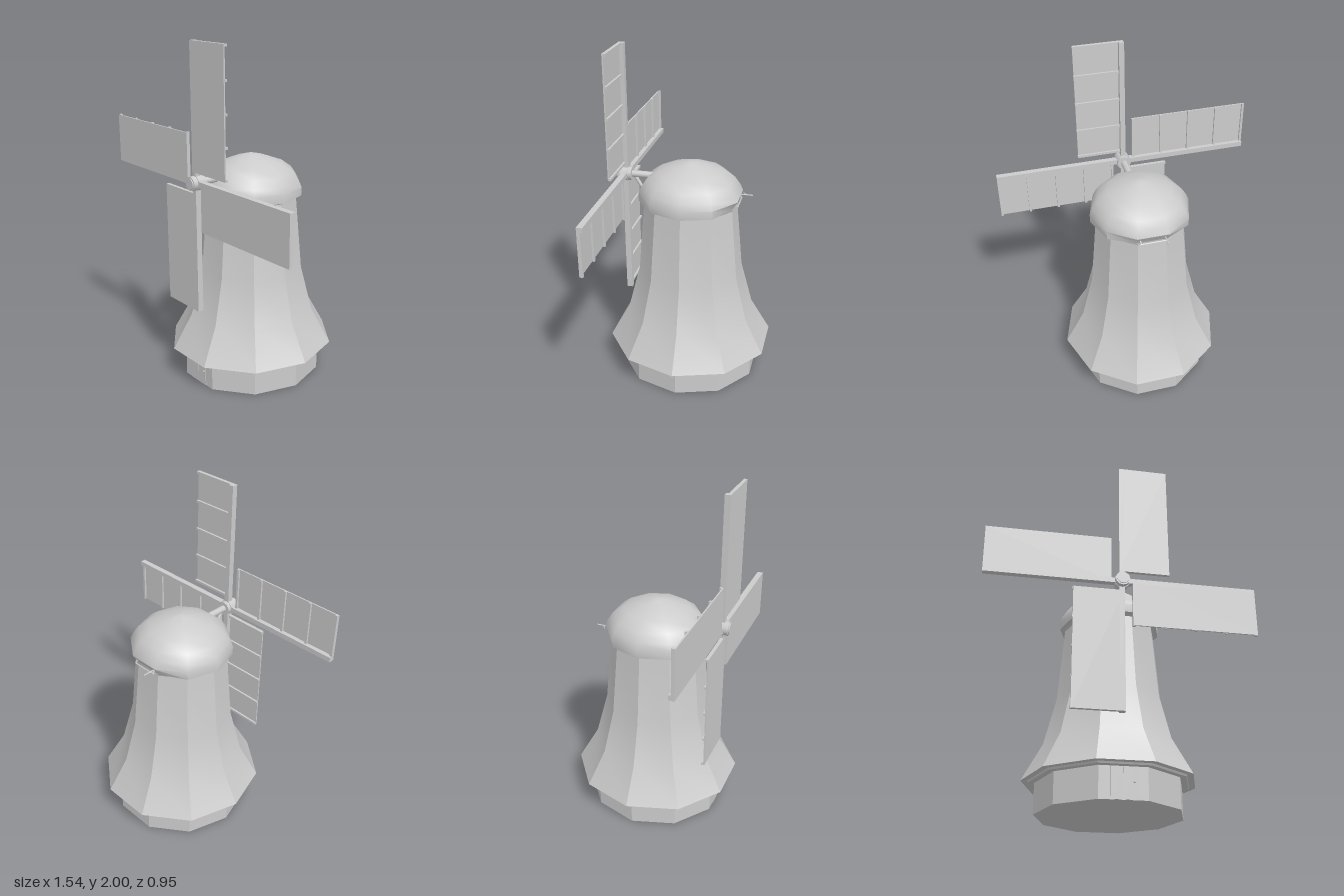
import * as THREE from 'three';
import { toCreasedNormals } from 'three/addons/utils/BufferGeometryUtils.js';

const grey = new THREE.MeshStandardMaterial({ color: 0xcccccc, side: THREE.DoubleSide });

const HUB_Y = 1.23;
const DEPTH = 1.035; // the ten-sided body is slightly deeper than wide

function add(parent, name, geometry, x = 0, y = 0, z = 0) {
  const mesh = new THREE.Mesh(geometry, grey);
  mesh.name = name;
  mesh.position.set(x, y, z);
  parent.add(mesh);
  return mesh;
}

function box(parent, name, w, h, d, x, y, z) {
  return add(parent, name, new THREE.BoxGeometry(w, h, d), x, y, z);
}

// Ten-sided turned body with a corner on +x and a flat side to the front
function decagon(profile) {
  const points = profile.map(([r, y]) => new THREE.Vector2(r, y));
  const geometry = new THREE.LatheGeometry(points, 10, Math.PI / 2);
  return geometry.scale(1, 1, DEPTH);
}

// Round bar between two points
function rod(parent, name, from, to, radius) {
  const a = new THREE.Vector3(...from);
  const b = new THREE.Vector3(...to);
  const dir = b.clone().sub(a);
  const mesh = add(parent, name, new THREE.CylinderGeometry(radius, radius, dir.length(), 12));
  mesh.position.copy(a).add(b).multiplyScalar(0.5);
  mesh.quaternion.setFromUnitVectors(new THREE.Vector3(0, 1, 0), dir.normalize());
  return mesh;
}

// One sail pointing up, its cloth to the side of the spar
function makeSail() {
  const sail = new THREE.Group();
  box(sail, 'spar', 0.03, 0.76, 0.034, 0, 0.39, 0.392);
  box(sail, 'sailCloth', 0.285, 0.71, 0.008, 0.13, 0.415, 0.405);
  for (let i = 0; i < 5; i++) {
    box(sail, 'batten', 0.275, 0.014, 0.014, 0.1375, 0.067 + i * 0.174, 0.396);
  }
  return sail;
}

function makeCap() {
  const geometry = decagon([
    [0.262, 1.085], [0.28, 1.1], [0.295, 1.1], [0.297, 1.15], [0.28, 1.19],
    [0.25, 1.235], [0.19, 1.28], [0.1, 1.315], [0.03, 1.335], [0, 1.34],
  ]);
  // Tuck the lower back edge inwards
  const p = geometry.attributes.position;
  for (let i = 0; i < p.count; i++) {
    if (p.getZ(i) < -0.25 && p.getY(i) < 1.12) p.setZ(i, -0.262);
  }
  return toCreasedNormals(geometry, 0.75);
}

export function createModel() {
  const model = new THREE.Group();
  model.name = 'windmill';

  // Base and double door
  add(model, 'base', toCreasedNormals(decagon([[0, 0], [0.41, 0], [0.41, 0.18]]), 0.5));
  const door = new THREE.Group();
  door.name = 'door';
  for (const side of [-1, 1]) {
    box(door, 'doorLeaf', 0.066, 0.165, 0.006, side * 0.034, 0.0835, 0.404);
  }
  add(door, 'doorKnob', new THREE.SphereGeometry(0.006, 10, 8), 0.055, 0.09, 0.41);
  model.add(door);

  // Flared tower
  add(model, 'tower', toCreasedNormals(decagon([
    [0.405, 0.17], [0.445, 0.17], [0.45, 0.18], [0.485, 0.18],
    [0.37, 0.39], [0.302, 0.66], [0.265, 1.09],
  ]), 0.5));

  // Domed cap with a hatch and pole at the back
  add(model, 'cap', makeCap());
  const hatch = new THREE.Group();
  hatch.name = 'rearHatch';
  for (const y of [-0.02, 0.02]) box(hatch, 'hatchRail', 0.15, 0.006, 0.008, 0, y, 0);
  for (const x of [-0.072, 0.072]) box(hatch, 'hatchPost', 0.006, 0.04, 0.008, x, 0, 0);
  hatch.position.set(0, 1.126, -0.277);
  hatch.rotation.x = 0.6;
  model.add(hatch);
  rod(model, 'rearPole', [-0.07, 1.13, -0.25], [-0.07, 1.13, -0.355], 0.004);
  rod(model, 'rearCrossbar', [-0.1, 1.13, -0.295], [-0.07, 1.13, -0.315], 0.003);

  // Shaft, hub and brace
  rod(model, 'shaft', [0, HUB_Y, 0.15], [0, HUB_Y, 0.37], 0.02);
  rod(model, 'hub', [0, HUB_Y, 0.352], [0, HUB_Y, 0.437], 0.041);
  rod(model, 'hubCap', [0, HUB_Y, 0.43], [0, HUB_Y, 0.443], 0.033);
  rod(model, 'hubCollar', [0, HUB_Y, 0.375], [0, HUB_Y, 0.408], 0.044);
  rod(model, 'brace', [0, 1.215, 0.335], [0, 1.125, 0.28], 0.01);

  // Four sails
  const sails = new THREE.Group();
  sails.name = 'sails';
  sails.position.y = HUB_Y;
  for (let i = 0; i < 4; i++) {
    const sail = makeSail();
    sail.name = 'sail';
    sail.rotation.z = -i * Math.PI / 2;
    sails.add(sail);
  }
  model.add(sails);

  return model;
}
